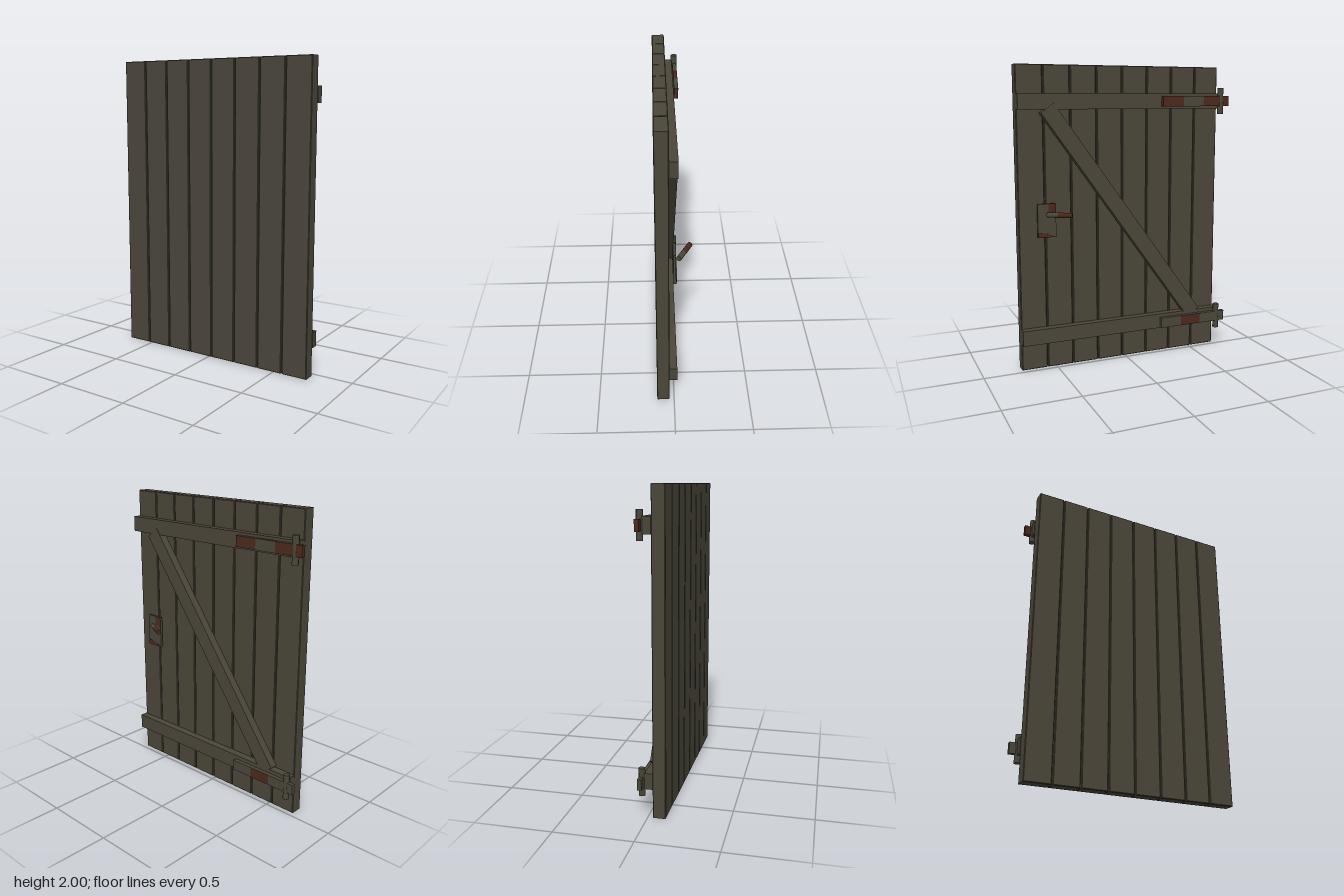
import * as THREE from 'three';

export function createModel() {
  const model = new THREE.Group();
  const mat = (name, color) => {
    const m = new THREE.MeshStandardMaterial({ color });
    m.name = name;
    return m;
  };
  const wood = mat('weathered wood', 0x4b463a);
  const iron = mat('dull iron', 0x4a483b);
  const rust = mat('rust', 0x4c281c);

  const add = (name, geometry, material, parent = model) => {
    const mesh = new THREE.Mesh(geometry, material);
    mesh.name = name;
    parent.add(mesh);
    return mesh;
  };
  // Box given by its two extreme corners
  const box = (name, [x0, x1], [y0, y1], [z0, z1], material, parent) => {
    const mesh = add(name, new THREE.BoxGeometry(x1 - x0, y1 - y0, z1 - z0), material, parent);
    mesh.position.set((x0 + x1) / 2, (y0 + y1) / 2, (z0 + z1) / 2);
    return mesh;
  };

  // Eight vertical planks with slightly eased edges
  const b = 0.004, w = 0.173, h = 2, d = 0.082;
  const outline = new THREE.Shape([
    new THREE.Vector2(-w / 2 + b, b), new THREE.Vector2(w / 2 - b, b),
    new THREE.Vector2(w / 2 - b, h - b), new THREE.Vector2(-w / 2 + b, h - b),
  ]);
  const plankGeometry = new THREE.ExtrudeGeometry(outline, {
    depth: d - 2 * b, bevelEnabled: true, bevelThickness: b, bevelSize: b, bevelSegments: 1,
  });
  for (let i = 0; i < 8; i++) {
    add('plank', plankGeometry, wood).position.set(-0.61 + i * 0.18, 0, 0.031 + b);
  }

  // Two horizontal rails and the diagonal brace on the back
  for (const y of [0.235, 1.77]) {
    box('rail', [-0.698, 0.738], [y - 0.051, y + 0.051], [-0.02, 0.031], wood);
  }
  const brace = add('brace', new THREE.BoxGeometry(1.8, 0.105, 0.054), wood);
  brace.position.set(0.02, 1.0, 0.004);
  brace.rotation.z = Math.atan(1.38);

  // Strap hinges: strap pieces from the pin side to the tip, plus the pin
  const cuts = [-0.745, -0.7, -0.55, -0.4, -0.245];
  const hinge = (y, colours, topColours) => {
    const group = new THREE.Group();
    group.name = 'hinge';
    model.add(group);
    colours.forEach((c, i) => {
      const t = topColours[i];
      // Face order: +x, -x, +y, -y, +z, -z
      box('hingeStrap', [cuts[i], cuts[i + 1]], [y - 0.035, y + 0.035], [-0.053, -0.026],
        [c, c, t, c, c, c], group);
    });
    const pin = add('hingePin', new THREE.CylinderGeometry(0.021, 0.021, 0.176, 8), iron, group);
    pin.position.set(-0.688, y, -0.037);
  };
  hinge(1.77, [rust, rust, iron, rust], [rust, iron, rust, iron]);
  hinge(0.228, [iron, iron, rust, iron], [iron, iron, iron, iron]);

  // Latch plate with rust patches on its rear face
  box('latchPlate', [0.5, 0.622], [0.9, 1.12], [-0.013, 0.004], iron);
  const patch = (points) => {
    const shape = new THREE.Shape(points.map(([x, y]) => new THREE.Vector2(x, y)));
    const geometry = new THREE.ExtrudeGeometry(shape, { depth: 0.003, bevelEnabled: false });
    add('rustPatch', geometry, rust).position.z = -0.015;
  };
  patch([[0.5, 1.04], [0.55, 1.06], [0.55, 1.12], [0.5, 1.12]]);
  patch([[0.5, 0.9], [0.622, 0.9], [0.622, 0.935], [0.56, 0.925]]);

  // Lever handle slanting out from the plate, rusty at its free end
  const root = new THREE.Vector3(0.565, 1.05, -0.031);
  const end = new THREE.Vector3(0.419, 1.05, -0.106);
  const rod = (name, from, to, material) => {
    const dir = to.clone().sub(from);
    const mesh = add(name, new THREE.CylinderGeometry(0.0165, 0.0165, dir.length(), 12), material);
    mesh.position.copy(from).add(to).multiplyScalar(0.5);
    mesh.quaternion.setFromUnitVectors(new THREE.Vector3(0, 1, 0), dir.normalize());
  };
  const middle = root.clone().lerp(end, 0.42);
  rod('handleBase', root, middle, iron);
  rod('handleEnd', middle, end, rust);

  return model;
}
